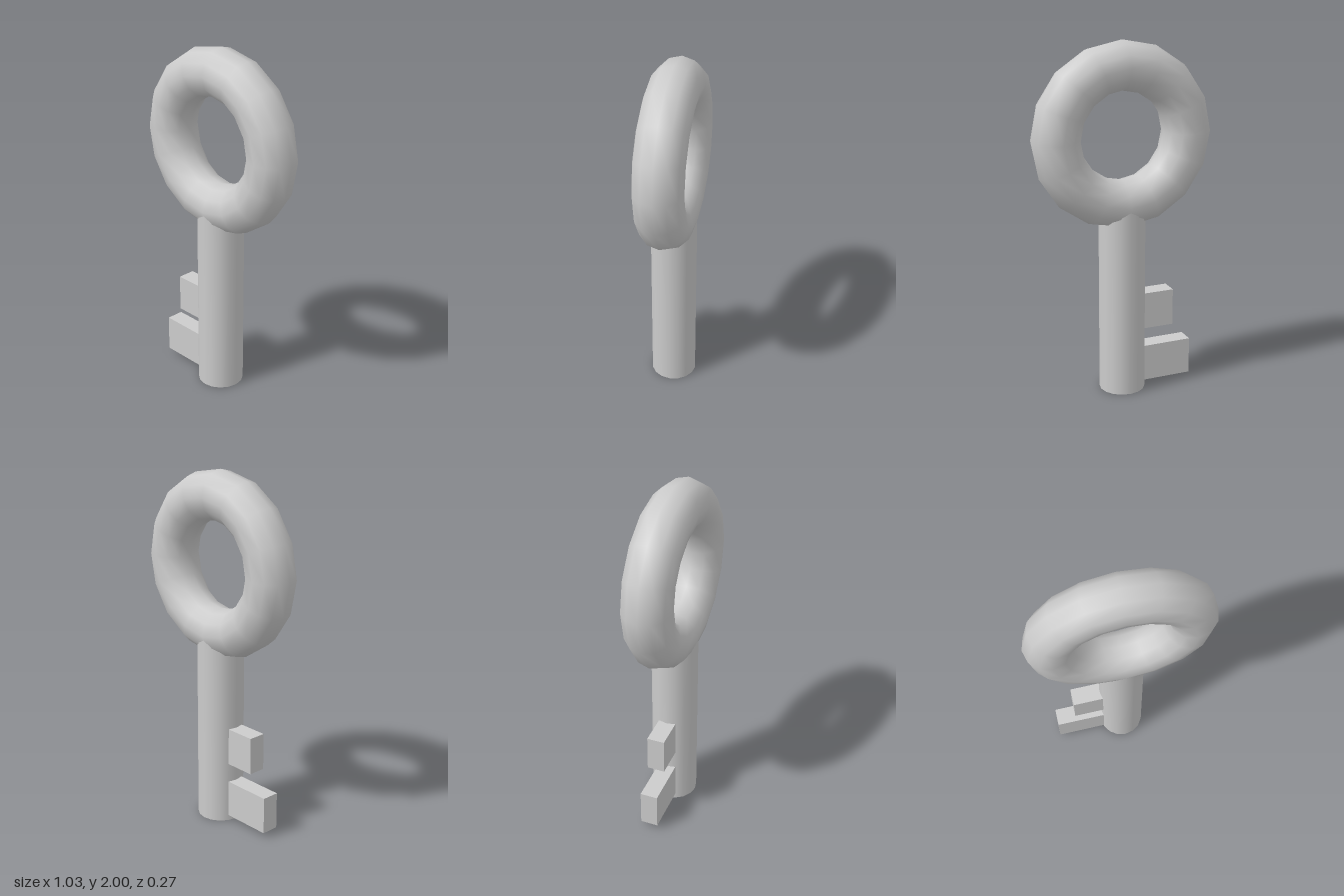
import * as THREE from 'three';

export function createModel() {
  const key = new THREE.Group();
  key.name = 'key';
  const material = new THREE.MeshStandardMaterial({ color: 0xcccccc });

  const add = (name, geometry, x, y) => {
    const mesh = new THREE.Mesh(geometry, material);
    mesh.name = name;
    mesh.position.set(x, y, 0);
    key.add(mesh);
  };

  // Ring handle
  add('ringHandle', new THREE.TorusGeometry(0.381, 0.136, 12, 16), 0, 1.483);

  // Round shaft, its top buried in the ring
  const shaftHeight = 1.1;
  add('shaft', new THREE.CylinderGeometry(0.13, 0.13, shaftHeight, 16), 0, shaftHeight / 2);

  // Teeth on one side, running into the shaft
  const teeth = [
    { name: 'upperTooth', reach: 0.295, bottom: 0.355, top: 0.568 },
    { name: 'lowerTooth', reach: 0.405, bottom: 0.032, top: 0.245 },
  ];
  for (const { name, reach, bottom, top } of teeth) {
    add(name, new THREE.BoxGeometry(reach, top - bottom, 0.1), -reach / 2, (top + bottom) / 2);
  }

  return key;
}
